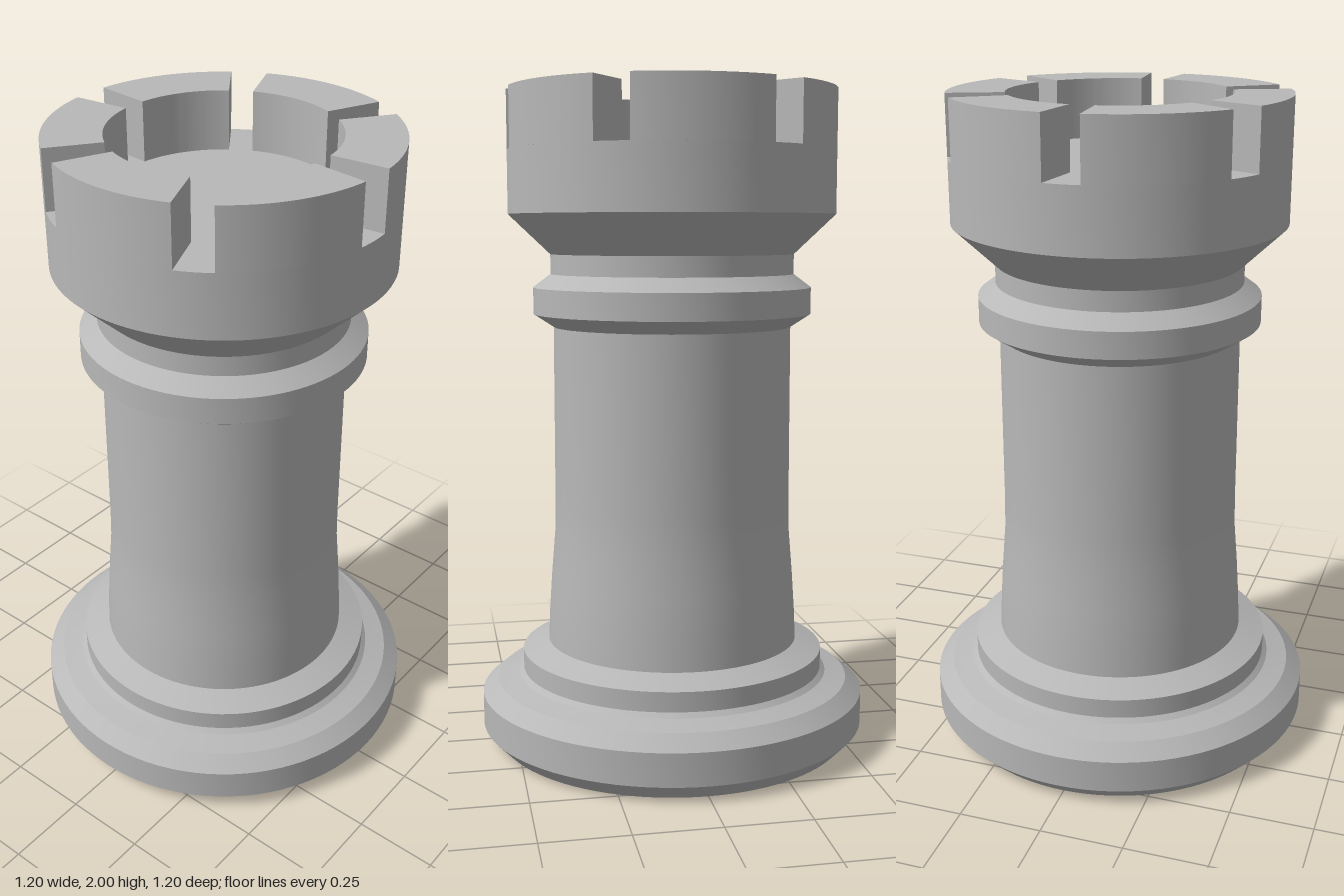
import * as THREE from 'three';
import { toCreasedNormals } from 'three/addons/utils/BufferGeometryUtils.js';

const SEGMENTS = 96;
const FLOOR_Y = 1.82;

export function createModel() {
  const model = new THREE.Group();
  model.name = 'rook';
  const stone = new THREE.MeshStandardMaterial({ color: 0xb8b8b8 });
  stone.name = 'grey stone';

  // Turned part: profile of [radius, height] from bottom to top, creased at sharp rings
  function turned(name, profile) {
    const points = profile.map(([r, y]) => new THREE.Vector2(r, y));
    const lathe = new THREE.LatheGeometry(points, SEGMENTS);
    const mesh = new THREE.Mesh(toCreasedNormals(lathe, 0.3), stone);
    mesh.name = name;
    model.add(mesh);
  }

  turned('base', [
    [0, 0], [0.55, 0], [0.598, 0.05], [0.598, 0.15], [0.55, 0.19],
    [0.51, 0.2], [0.485, 0.207], [0.47, 0.22], [0.47, 0.28], [0.39, 0.31],
  ]);
  turned('shaft', [
    [0.39, 0.31], [0.386, 0.4], [0.378, 0.52], [0.367, 0.65], [0.365, 0.75], [0.364, 1.29],
  ]);
  turned('collar', [
    [0.364, 1.29], [0.425, 1.33], [0.425, 1.41], [0.372, 1.45], [0.372, 1.51],
  ]);
  turned('crown', [
    [0.372, 1.51], [0.498, 1.63], [0.498, FLOOR_Y], [0, FLOOR_Y],
  ]);

  // Six battlement blocks, separated by narrow radial gaps
  const halfAngle = THREE.MathUtils.degToRad(23.8);
  const outline = new THREE.Shape();
  outline.absarc(0, 0, 0.498, -halfAngle, halfAngle, false);
  outline.absarc(0, 0, 0.328, halfAngle, -halfAngle, true);
  outline.closePath();
  const block = new THREE.ExtrudeGeometry(outline, {
    depth: 2 - FLOOR_Y, bevelEnabled: false, curveSegments: 16,
  });
  block.rotateX(-Math.PI / 2);
  const blockGeometry = toCreasedNormals(block, 0.3);
  const battlements = new THREE.Group();
  battlements.name = 'battlements';
  for (let i = 0; i < 6; i++) {
    const merlon = new THREE.Mesh(blockGeometry, stone);
    merlon.name = 'battlementBlock';
    merlon.position.y = FLOOR_Y;
    merlon.rotation.y = Math.PI / 6 + (i * Math.PI) / 3;
    battlements.add(merlon);
  }
  model.add(battlements);

  return model;
}
